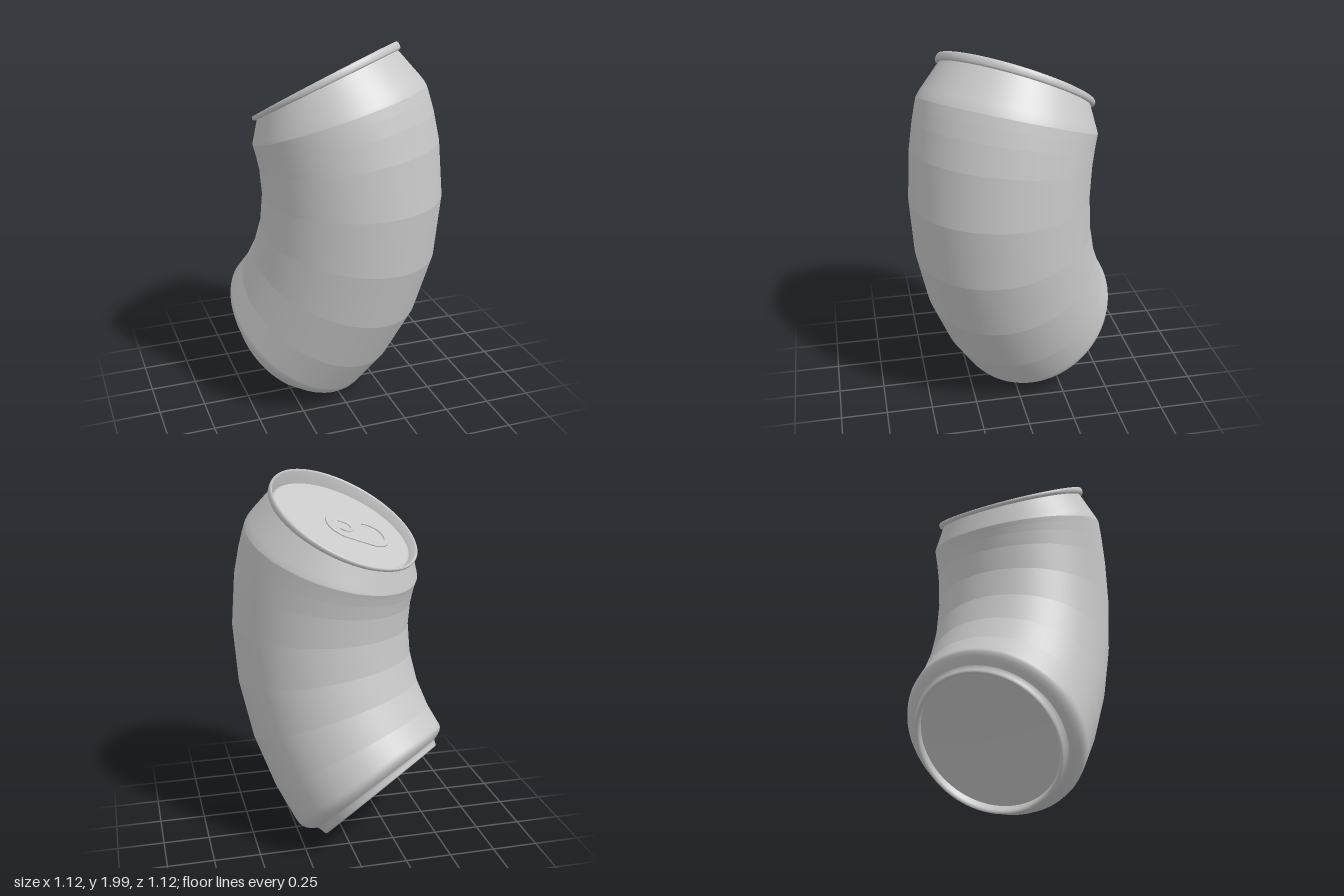
import * as THREE from 'three';

// The can's axis is an arc in the diagonal plane between +x and +z,
// a little gentler below the middle than above it.
const UPPER_BEND = 1.15, LOWER_BEND = 1.26, MID_Y = 1.2, MID_OFFSET = 0.12, SEGMENTS = 96;
const OUT = new THREE.Vector3(1, 0, 1).normalize();
const SIDE = new THREE.Vector3(1, 0, -1).normalize();
const rad = THREE.MathUtils.degToRad;

// Point at radius r and angle theta round the axis, at a bend angle in degrees.
function bentPoint(r, theta, degrees) {
  const bend = degrees < 0 ? LOWER_BEND : UPPER_BEND;
  const phi = rad(degrees), reach = bend + r * Math.cos(theta);
  return new THREE.Vector3(0, MID_Y + reach * Math.sin(phi), 0)
    .addScaledVector(OUT, MID_OFFSET - bend + reach * Math.cos(phi))
    .addScaledVector(SIDE, r * Math.sin(theta));
}

// Revolve [radius, bend angle] points about the bent axis.
// Banded surfaces are smooth around the can but creased from ring to ring.
function bentLathe(profile, banded = false) {
  const rings = banded ? profile.slice(1).flatMap((p, i) => [profile[i], p]) : profile;
  const positions = [], index = [];
  for (const [r, degrees] of rings) {
    for (let j = 0; j < SEGMENTS; j++) {
      positions.push(...bentPoint(r, (j / SEGMENTS) * Math.PI * 2, degrees).toArray());
    }
  }
  for (let i = 0; i < rings.length - 1; i += banded ? 2 : 1) {
    for (let j = 0; j < SEGMENTS; j++) {
      const k = (j + 1) % SEGMENTS;
      const a = i * SEGMENTS + j, b = i * SEGMENTS + k;
      const c = a + SEGMENTS, d = b + SEGMENTS;
      index.push(a, b, c, b, d, c);
    }
  }
  const geometry = new THREE.BufferGeometry();
  geometry.setAttribute('position', new THREE.Float32BufferAttribute(positions, 3));
  geometry.setIndex(index);
  geometry.computeVertexNormals();
  return geometry;
}

// Flat plate lying in the local xz plane with its underside near y = 0.
function plate(shape, depth, bevel) {
  const geometry = new THREE.ExtrudeGeometry(shape, {
    depth, curveSegments: 24, bevelEnabled: true,
    bevelSize: bevel, bevelThickness: bevel, bevelOffset: -bevel, bevelSegments: 2,
  });
  return geometry.rotateX(-Math.PI / 2);
}

export function createModel() {
  const aluminium = new THREE.MeshStandardMaterial({ color: 0xc8c8c8 });
  aluminium.name = 'aluminium';
  const can = new THREE.Group();
  can.name = 'bentCan';

  function add(name, geometry, parent = can) {
    const mesh = new THREE.Mesh(geometry, aluminium);
    mesh.name = name;
    parent.add(mesh);
    return mesh;
  }

  // Underside: recessed panel, then the foot ring and rounded lower edge
  add('basePanel', bentLathe([[0, -44.7], [0.2, -44.75], [0.37, -44.9]]));
  add('footRing', bentLathe([
    [0.37, -44.9], [0.373, -46], [0.378, -46.4], [0.385, -46.6],
    [0.391, -46.4], [0.395, -45.8], [0.4, -45], [0.408, -44.5],
  ]));
  add('lowerEdge', bentLathe([
    [0.408, -44.5], [0.435, -43.9], [0.455, -43.2], [0.468, -42.4], [0.474, -41.6], [0.475, -40.6],
  ]));

  // Wall: straight bands stepping round the bend
  const bends = [-40.6, -33, -22.4, -11.2, 0, 10.5, 16, 19, 21];
  add('body', bentLathe(bends.map((b) => [0.475, b]), true));
  add('shoulder', bentLathe([[0.475, 21], [0.47, 21.8], [0.46, 22.9], [0.407, 28.6], [0.403, 29]]));

  // Thin rolled rim and sunken lid
  add('rim', bentLathe([
    [0.403, 29], [0.416, 29], [0.421, 29.3], [0.423, 29.8],
    [0.422, 30.3], [0.418, 30.6], [0.413, 30.6], [0.409, 30.3],
  ]));
  const lidAngle = 28.1;
  add('rimWall', bentLathe([[0.409, 30.3], [0.397, 29.2], [0.387, 27.9]]));
  add('lidGroove', bentLathe([[0.387, 27.9], [0.382, 27.9], [0.38, lidAngle]]));
  add('lid', bentLathe([[0.38, lidAngle], [0, lidAngle]]));

  // Pull tab, laid out flat around the rivet and tilted with the lid
  const tab = new THREE.Group();
  tab.name = 'pullTab';
  tab.position.copy(bentPoint(0, 0, lidAngle));
  tab.quaternion.setFromAxisAngle(SIDE, -rad(lidAngle));
  tab.translateX(-0.002).translateZ(-0.01);
  can.add(tab);

  const outline = new THREE.Shape();
  outline.moveTo(-0.155, -0.118);
  outline.lineTo(-0.01, -0.115);
  outline.bezierCurveTo(0.132, -0.105, 0.132, 0.105, -0.01, 0.115);
  outline.lineTo(-0.155, 0.118);
  outline.bezierCurveTo(-0.305, 0.11, -0.305, -0.11, -0.155, -0.118);

  const fingerHole = new THREE.Path();
  fingerHole.moveTo(-0.15, 0.084);
  fingerHole.lineTo(-0.165, 0.084);
  fingerHole.bezierCurveTo(-0.267, 0.08, -0.267, -0.08, -0.165, -0.084);
  fingerHole.lineTo(-0.15, -0.084);
  fingerHole.quadraticCurveTo(-0.118, -0.084, -0.118, -0.05);
  fingerHole.lineTo(-0.118, 0.05);
  fingerHole.quadraticCurveTo(-0.118, 0.084, -0.15, 0.084);

  const rivetHole = new THREE.Path();
  rivetHole.absarc(0, 0, 0.074, 0, Math.PI * 2, true);
  outline.holes.push(fingerHole, rivetHole);
  add('tabPlate', plate(outline, 0.004, 0.003), tab);

  // Sloping dish around the rivet
  add('rivetDish', new THREE.LatheGeometry(
    [[0.078, 0.007], [0.07, 0.0068], [0.06, 0.004], [0.048, 0.001], [0, 0.001]]
      .map(([r, y]) => new THREE.Vector2(r, y)), 48), tab);

  // Open C-shaped ridge around the rivet
  const ridge = new THREE.Shape();
  ridge.absarc(-0.01, 0, 0.05, rad(50), rad(310), false);
  ridge.absarc(-0.01, 0, 0.036, rad(310), rad(50), true);
  add('rivetRidge', plate(ridge, 0.003, 0.002), tab).position.y = 0.002;

  return can;
}
